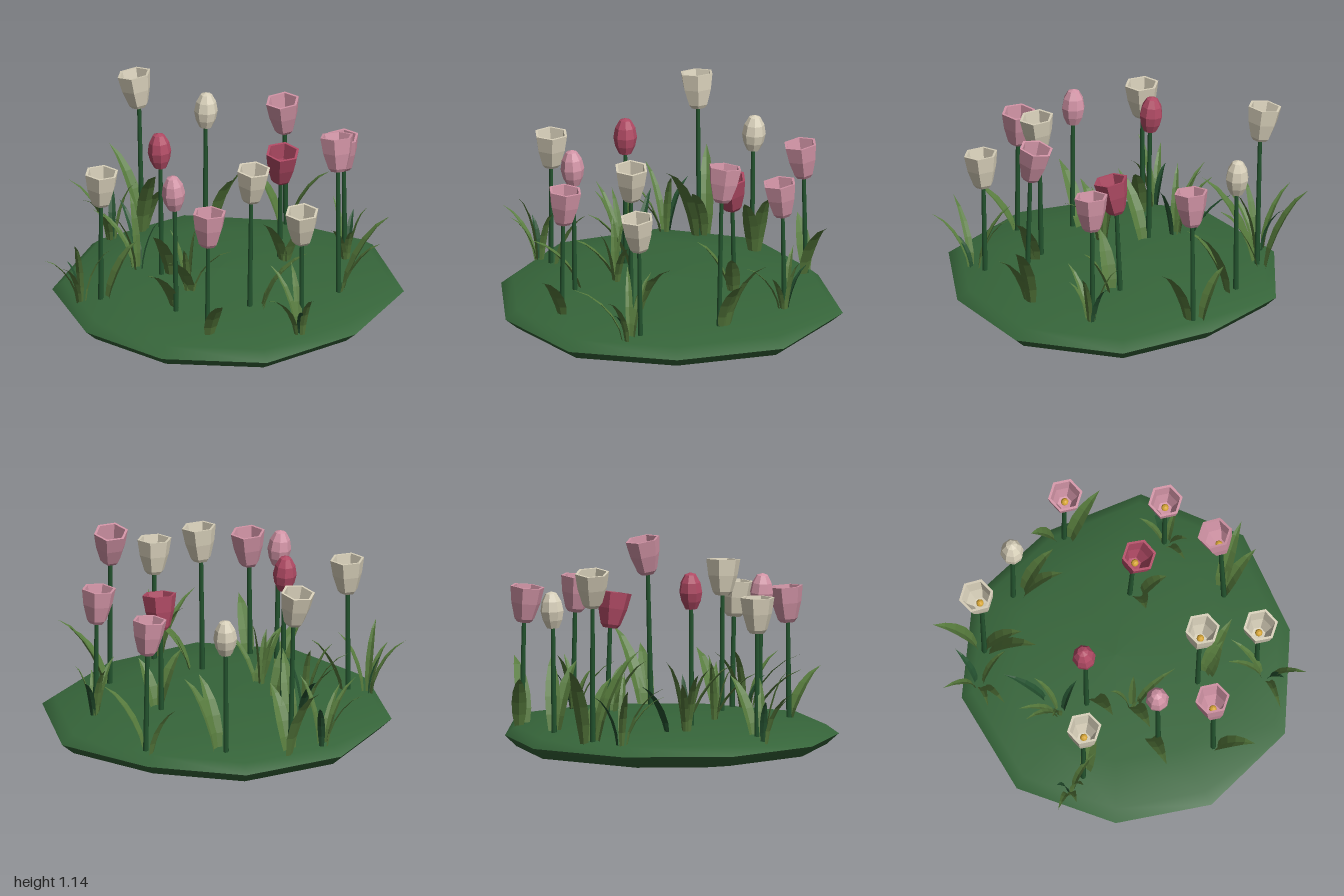
import * as THREE from 'three';

const mat = (name, color, extra = {}) => {
  const m = new THREE.MeshStandardMaterial({ color, ...extra });
  m.name = name;
  return m;
};
const flat = { flatShading: true };
const thin = { flatShading: true, side: THREE.DoubleSide };

const groundY = (x, z) => 0.205 - 0.05 * (x * x + z * z);

// Rings of a fixed outline, each scaled and raised; scale 0 closes the surface
function ringSurface(outline, rings) {
  const n = outline.length, pos = [], index = [];
  rings.forEach(([s, y]) => outline.forEach(([x, z]) => pos.push(x * s, y, z * s)));
  for (let r = 0; r < rings.length - 1; r++)
    for (let i = 0; i < n; i++) {
      const j = (i + 1) % n, a = r * n + i, b = r * n + j, c = a + n, d = b + n;
      if (rings[r][0] > 0) index.push(a, d, b);
      if (rings[r + 1][0] > 0) index.push(a, c, d);
      else if (rings[r][0] > 0) { index.splice(-3); index.push(a, c, b); }
    }
  const g = new THREE.BufferGeometry();
  g.setAttribute('position', new THREE.Float32BufferAttribute(pos, 3));
  g.setIndex(index);
  g.computeVertexNormals();
  return g;
}

// Pointed blade that curves from its base out to a tip, slightly folded on its midrib
function bladeGeometry(bx, bz, tx, tz, tipY, half, bend) {
  const y0 = groundY(bx, bz) - 0.02, dx = tx - bx, dz = tz - bz;
  const len = Math.hypot(dx, dz) || 1, ux = dx / len, uz = dz / len;
  const widths = [0.55, 0.9, 1, 0.85, 0.5, 0], pos = [], index = [];
  widths.forEach((k, i) => {
    const t = i / (widths.length - 1), o = Math.pow(t, bend);
    const x = bx + dx * o, z = bz + dz * o, w = half * k;
    const y = y0 + (tipY - y0) * (1 - Math.pow(1 - t, 1.35));
    pos.push(x - uz * w, y, z + ux * w);
    pos.push(x + ux * w * 0.3, y - w * 0.1, z + uz * w * 0.3);
    pos.push(x + uz * w, y, z - ux * w);
    if (i < widths.length - 1)
      for (let s = 0; s < 2; s++) {
        const a = i * 3 + s;
        index.push(a, a + 1, a + 4, a, a + 4, a + 3);
      }
  });
  const g = new THREE.BufferGeometry();
  g.setAttribute('position', new THREE.Float32BufferAttribute(pos, 3));
  g.setIndex(index);
  g.computeVertexNormals();
  return g;
}

const lathe = (pts, n) => new THREE.LatheGeometry(pts.map(([r, y]) => new THREE.Vector2(r, y)), n);

export function createModel() {
  const model = new THREE.Group();
  const ground = mat('ground green', 0x36653a);
  const leaf = mat('leaf olive', 0x567a3c, thin);
  const darkLeaf = mat('dark leaf green', 0x24502f, thin);
  const stemGreen = mat('stem green', 0x24552f);
  const petals = {
    cream: mat('petal cream', 0xd8d0ba, flat),
    pink: mat('petal pink', 0xd294a6, flat),
    red: mat('petal red', 0xb04a64, flat),
  };
  const gold = mat('stamen gold', 0xd6a535, flat);

  const add = (parent, name, geo, material) => {
    const m = new THREE.Mesh(geo, material);
    m.name = name;
    parent.add(m);
    return m;
  };

  // Mound of turf with a sharp rim
  const outline = [[-0.02, -0.88], [-0.61, -0.70], [-0.93, -0.21], [-0.94, 0.33], [-0.62, 0.82],
    [-0.03, 0.98], [0.57, 0.85], [0.93, 0.35], [0.83, -0.21], [0.54, -0.69]];
  add(model, 'moundTop', ringSurface(outline,
    [[1, 0.115], [0.93, 0.165], [0.65, 0.197], [0.3, 0.215], [0, 0.222]].reverse()), ground);
  add(model, 'moundUnderside', ringSurface(outline,
    [[1, 0.115], [0.93, 0.055], [0.62, 0.01], [0, 0]]), ground);

  // Open cup with a thick rim, and closed bud
  const cupGeo = lathe([[0, 0], [0.04, 0], [0.057, 0.02], [0.084, 0.11], [0.098, 0.2],
    [0.083, 0.2], [0.07, 0.11], [0.04, 0.03], [0, 0.025]], 6);
  const budGeo = lathe([[0, 0], [0.035, 0.005], [0.056, 0.05], [0.066, 0.1],
    [0.056, 0.155], [0.032, 0.198], [0, 0.21]], 8);
  const stamenGeo = new THREE.IcosahedronGeometry(0.021, 1);

  // x, z of the head, its lowest height, colour, lean in x and z, bud?
  const flowers = [
    [0.19, -0.75, 0.925, 'cream', -0.03, -0.16],
    [0.26, 0.62, 0.92, 'pink', 0.12, -0.14],
    [-0.645, -0.325, 0.755, 'cream', 0, 0.02],
    [-0.615, 0.41, 0.715, 'pink', 0.06, 0],
    [-0.25, 0.435, 0.85, 'cream', 0, 0.09],
    [-0.24, 0.767, 0.685, 'cream', -0.07, 0.06],
    [0.31, 0.20, 0.68, 'red', -0.1, 0.15],
    [0.575, 0.41, 0.73, 'pink', -0.09, 0],
    [0.725, -0.125, 0.74, 'pink', -0.1, 0],
    [0.49, -0.48, 0.76, 'cream', 0.05, -0.02, true],
    [-0.24, -0.235, 0.86, 'red', 0, -0.07, true],
    [-0.555, 0.11, 0.82, 'pink', -0.06, -0.04, true],
  ];
  const up = new THREE.Vector3(0, 1, 0);
  flowers.forEach(([x, z, y, colour, lx, lz, bud]) => {
    const flower = new THREE.Group();
    flower.name = bud ? 'buddedFlower' : 'openFlower';
    const reach = bud ? 0.1 : 0.19;
    const neck = new THREE.Vector3(x - lx * reach, y, z - lz * reach);
    const foot = new THREE.Vector3(neck.x - lx * 0.12, 0, neck.z - lz * 0.12);
    foot.y = groundY(foot.x, foot.z) - 0.03;

    // Stem
    const dir = neck.clone().sub(foot), len = dir.length();
    const stem = add(flower, 'stem', new THREE.CylinderGeometry(0.012, 0.016, len + 0.02, 6), stemGreen);
    stem.position.copy(foot).addScaledVector(dir, 0.5);
    stem.quaternion.setFromUnitVectors(up, dir.normalize());

    // Head
    const head = new THREE.Group();
    head.name = 'flowerHead';
    head.position.copy(neck);
    head.quaternion.setFromUnitVectors(up, new THREE.Vector3(lx, 1, lz).normalize());
    add(head, bud ? 'closedPetals' : 'petalCup', bud ? budGeo : cupGeo, petals[colour]);
    if (!bud) add(head, 'stamen', stamenGeo, gold).position.y = 0.055;
    flower.add(head);
    model.add(flower);
  });

  // Broad leaves: base x, z, tip x, z, tip height
  [
    [0.18, -0.69, 0.0, -0.45, 0.65], [0.24, -0.73, 0.26, -0.98, 0.6],
    [0.22, -0.70, 0.15, -0.50, 0.5],
    [-0.62, -0.31, -0.46, -0.22, 0.5], [-0.21, -0.18, -0.46, -0.12, 0.55],
    [-0.5, 0.08, -0.79, 0.11, 0.5], [-0.3, 0.03, -0.55, 0.07, 0.48],
    [0.48, -0.42, 0.42, -0.21, 0.55], [0.5, -0.42, 0.56, -0.23, 0.57],
    [0.76, -0.17, 0.72, -0.32, 0.45], [0.74, -0.1, 0.86, 0.1, 0.52],
    [0.32, 0.2, 0.13, 0.2, 0.5], [0.33, 0.21, 0.31, 0.36, 0.45],
    [0.24, 0.66, 0.34, 0.87, 0.5], [0.27, 0.65, 0.48, 0.82, 0.6],
    [-0.63, 0.42, -0.76, 0.62, 0.45], [-0.21, 0.45, -0.04, 0.65, 0.52],
    [-0.22, 0.47, -0.13, 0.58, 0.45],
  ].forEach(([bx, bz, tx, tz, y]) =>
    add(model, 'broadLeaf', bladeGeometry(bx, bz, tx, tz, y, 0.042, 1.5), leaf));

  // Grass tufts: centre, then tip x, z, height of each blade; the last blade is dark
  [
    [0.02, -0.77, [-0.08, -1.0, 0.5], [-0.24, -0.78, 0.5], [-0.22, -0.68, 0.44], [0.04, -0.62, 0.55], [0.15, -0.88, 0.45]],
    [-0.7, -0.42, [-0.9, -0.53, 0.45], [-0.87, -0.42, 0.42], [-0.83, -0.37, 0.56], [-0.64, -0.26, 0.5], [-0.74, -0.5, 0.4]],
    [-0.25, -0.37, [-0.38, -0.6, 0.55], [-0.29, -0.62, 0.5], [-0.4, -0.45, 0.56], [-0.17, -0.5, 0.6], [-0.2, -0.27, 0.5]],
    [-0.31, 0.02, [-0.32, -0.1, 0.55], [-0.25, 0.28, 0.5], [-0.4, 0.06, 0.5], [-0.27, 0.04, 0.57]],
    [-0.28, 0.79, [-0.6, 0.8, 0.48], [-0.42, 0.99, 0.47], [-0.28, 0.57, 0.52], [-0.15, 0.62, 0.5], [-0.38, 0.87, 0.35]],
    [0.6, 0.42, [0.38, 0.48, 0.45], [0.66, 0.28, 0.5], [0.52, 0.52, 0.4], [0.68, 0.5, 0.48], [0.73, 0.37, 0.42]],
  ].forEach(([cx, cz, ...tips]) => {
    const tuft = new THREE.Group();
    tuft.name = 'grassTuft';
    tips.forEach(([tx, tz, y], i) => {
      const bx = cx + (tx - cx) * 0.12, bz = cz + (tz - cz) * 0.12;
      add(tuft, 'grassBlade', bladeGeometry(bx, bz, tx, tz, y, 0.021, 1.7), i === 4 ? darkLeaf : leaf);
    });
    model.add(tuft);
  });
  // Single dark blade beside a tuft
  add(model, 'grassBlade', bladeGeometry(-0.16, -0.43, -0.07, -0.65, 0.48, 0.024, 1.4), darkLeaf);
  return model;
}
